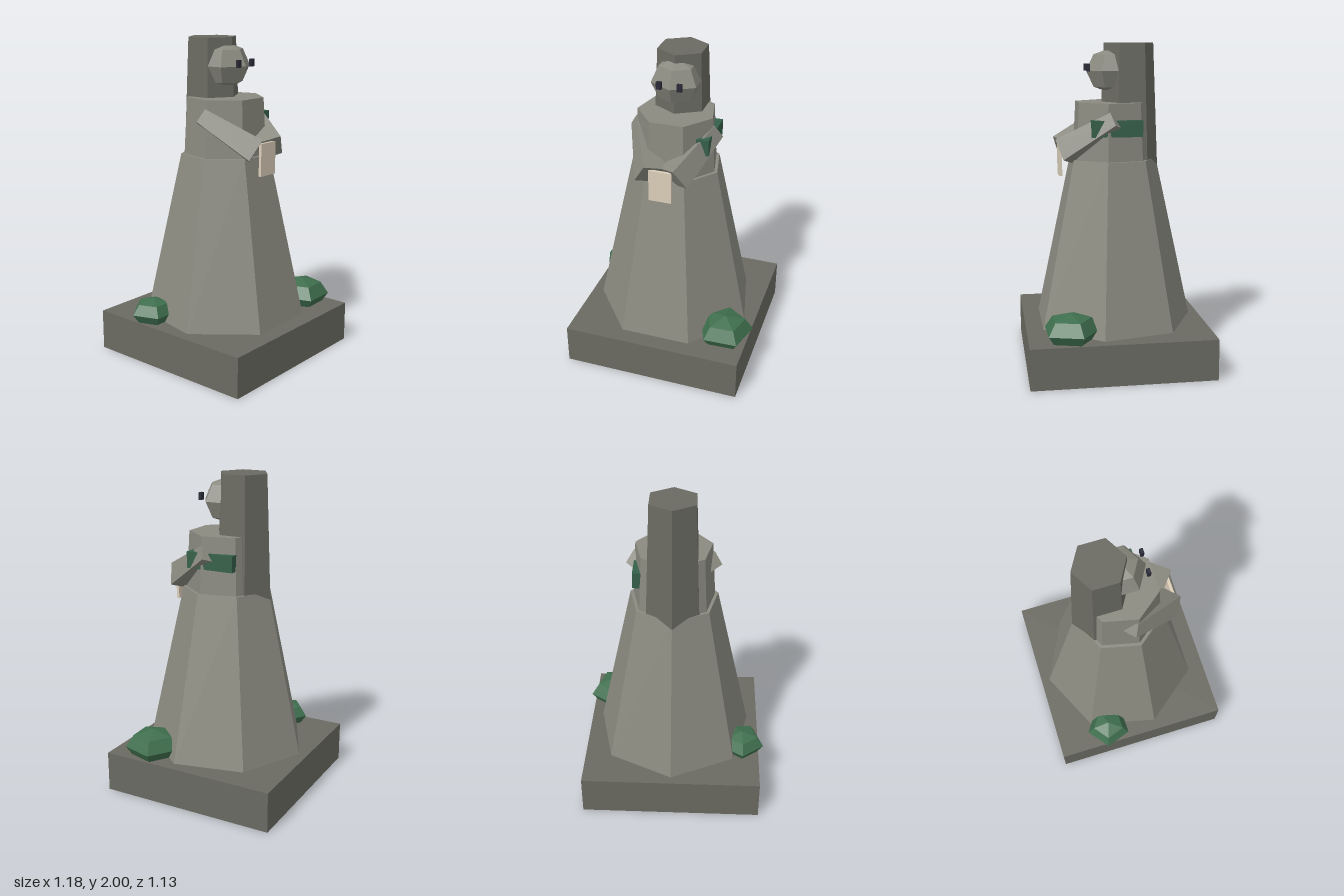
import * as THREE from 'three';

const mat = (color) => new THREE.MeshStandardMaterial({ color, flatShading: true });
const rad = THREE.MathUtils.degToRad;

export function createModel() {
  const model = new THREE.Group();
  model.name = 'statue';
  const stone = mat(0x8a8a80);
  const darkStone = mat(0x6a6a62);
  const moss = mat(0x3f6f4e);
  const ribbon = mat(0x356049);
  const ink = mat(0x2a2a38);
  const parchment = mat(0xdccfba);

  const add = (name, geometry, material, x = 0, y = 0, z = 0) => {
    const mesh = new THREE.Mesh(geometry, material);
    mesh.name = name;
    mesh.position.set(x, y, z);
    model.add(mesh);
    return mesh;
  };
  const box = (name, size, pos, material) => add(name, new THREE.BoxGeometry(...size), material, ...pos);
  // Faceted tapered column between two heights
  const column = (name, rTop, rBottom, y0, y1, sides, material, z = 0) =>
    add(name, new THREE.CylinderGeometry(rTop, rBottom, y1 - y0, sides), material, 0, (y0 + y1) / 2, z);

  // Plinth, robe, torso and the tall hood behind the head
  box('plinth', [1.13, 0.255, 1.13], [0, 0.1275, 0], darkStone);
  column('robe', 0.28, 0.51, 0.255, 1.29, 7, stone).rotation.y = Math.PI;
  column('torso', 0.24, 0.26, 1.28, 1.64, 7, stone).rotation.y = Math.PI;
  column('hood', 0.155, 0.19, 1.15, 2, 6, darkStone, -0.105);

  // Head with a ridge down the middle of the face
  const head = add('head', new THREE.SphereGeometry(0.16, 6, 4), stone, 0, 1.83, 0);
  head.rotation.y = rad(30);
  head.scale.y = 0.875;

  // Mirrored eyes and flared four-sided sleeves reaching forward
  for (const s of [1, -1]) {
    const side = s > 0 ? 'left' : 'right';
    box(side + 'Eye', [0.03, 0.045, 0.02], [s * 0.062, 1.85, 0.155], ink);

    const shoulder = new THREE.Vector3(s * 0.233, 1.54, 0.005);
    const hand = new THREE.Vector3(s * 0.071, 1.338, 0.296);
    const along = hand.clone().sub(shoulder);
    const length = along.length();
    along.normalize();
    const up = new THREE.Vector3(s * 0.18, 0.77, 0.61).projectOnPlane(along).normalize();
    const across = along.clone().cross(up);
    const mid = shoulder.clone().lerp(hand, 0.5);
    const arm = add(side + 'Arm', new THREE.CylinderGeometry(0.104, 0.065, length, 4), stone, mid.x, mid.y, mid.z);
    arm.quaternion.setFromRotationMatrix(new THREE.Matrix4().makeBasis(across, along, up));
  }

  // Held note and arm band
  box('note', [0.14, 0.2, 0.018], [0, 1.288, 0.328], parchment);
  box('armBand', [0.075, 0.1, 0.31], [0.203, 1.49, 0], ribbon);

  // Faceted bushes resting on the plinth
  for (const [name, x, z, r] of [['frontBush', 0.42, 0.31, 0.178], ['backBush', -0.455, -0.21, 0.145]]) {
    const bush = add(name, new THREE.SphereGeometry(r, 5, 4), moss, x, 0.31, z);
    bush.rotation.y = rad(-16);
    bush.scale.y = 0.6;
  }
  return model;
}
